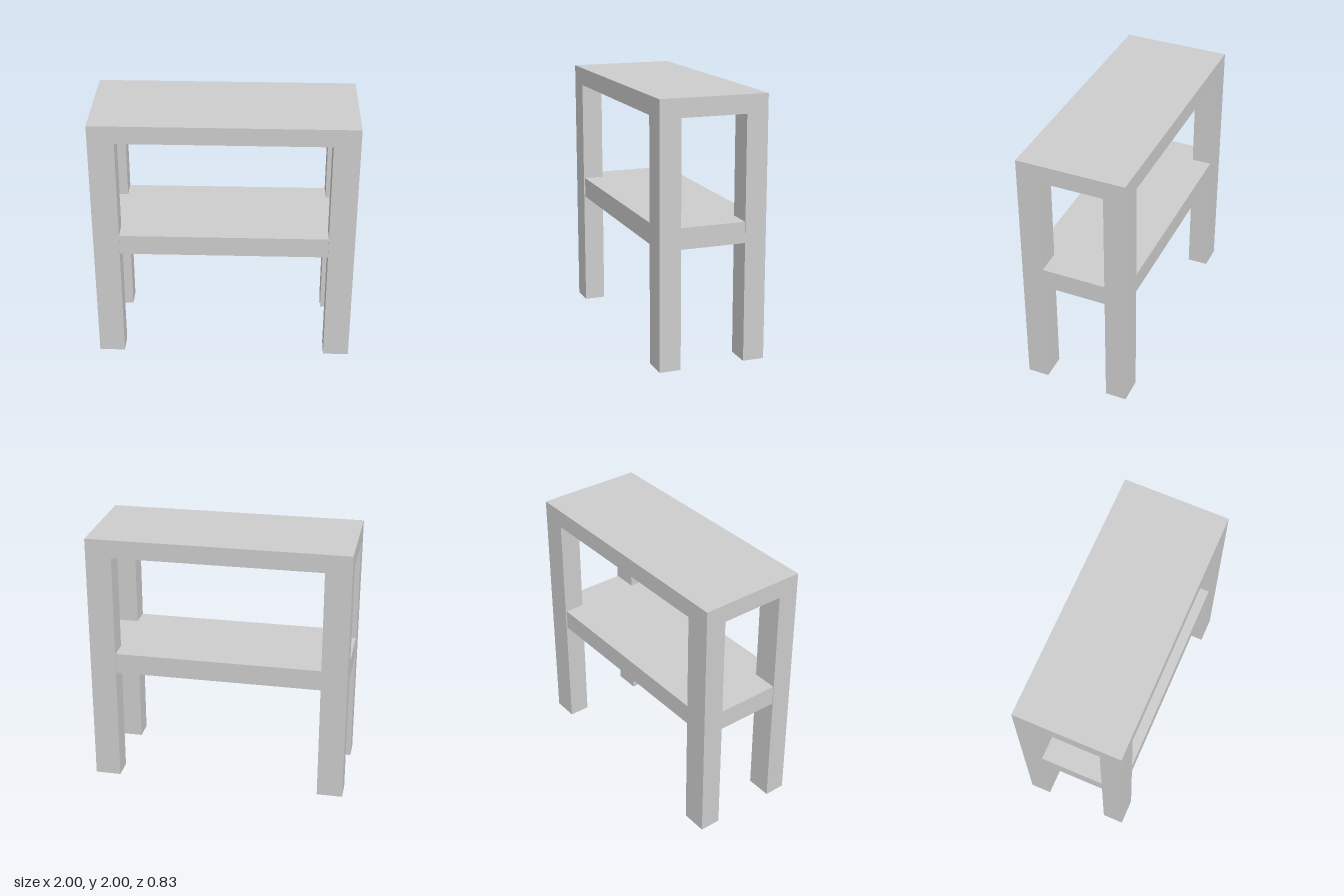
import * as THREE from 'three';

const material = new THREE.MeshStandardMaterial({ color: 0xcccccc });

// Box given by its size, its centre in x and z, and its bottom height
function addBox(group, name, [w, h, d], x, bottom, z) {
  const mesh = new THREE.Mesh(new THREE.BoxGeometry(w, h, d), material);
  mesh.position.set(x, bottom + h / 2, z);
  mesh.name = name;
  group.add(mesh);
}

export function createModel() {
  const group = new THREE.Group();
  group.name = 'sideTable';

  const width = 2, depth = 0.83, height = 2;
  const topThickness = 0.14;
  const legWidth = 0.2, legDepth = 0.165;
  const legHeight = height - topThickness;

  // Table top
  addBox(group, 'tableTop', [width, topThickness, depth], 0, legHeight, 0);

  // Shelf, set a hair inside the outer faces of the legs
  addBox(group, 'shelf', [width - 0.01, 0.16, depth - 0.02], 0, 0.91, 0);

  // Four corner legs
  for (const [side, sx] of [['Left', 1], ['Right', -1]]) {
    for (const [end, sz] of [['front', 1], ['back', -1]]) {
      addBox(group, `${end}${side}Leg`, [legWidth, legHeight, legDepth],
        sx * (width - legWidth) / 2, 0, sz * (depth - legDepth) / 2);
    }
  }

  return group;
}
